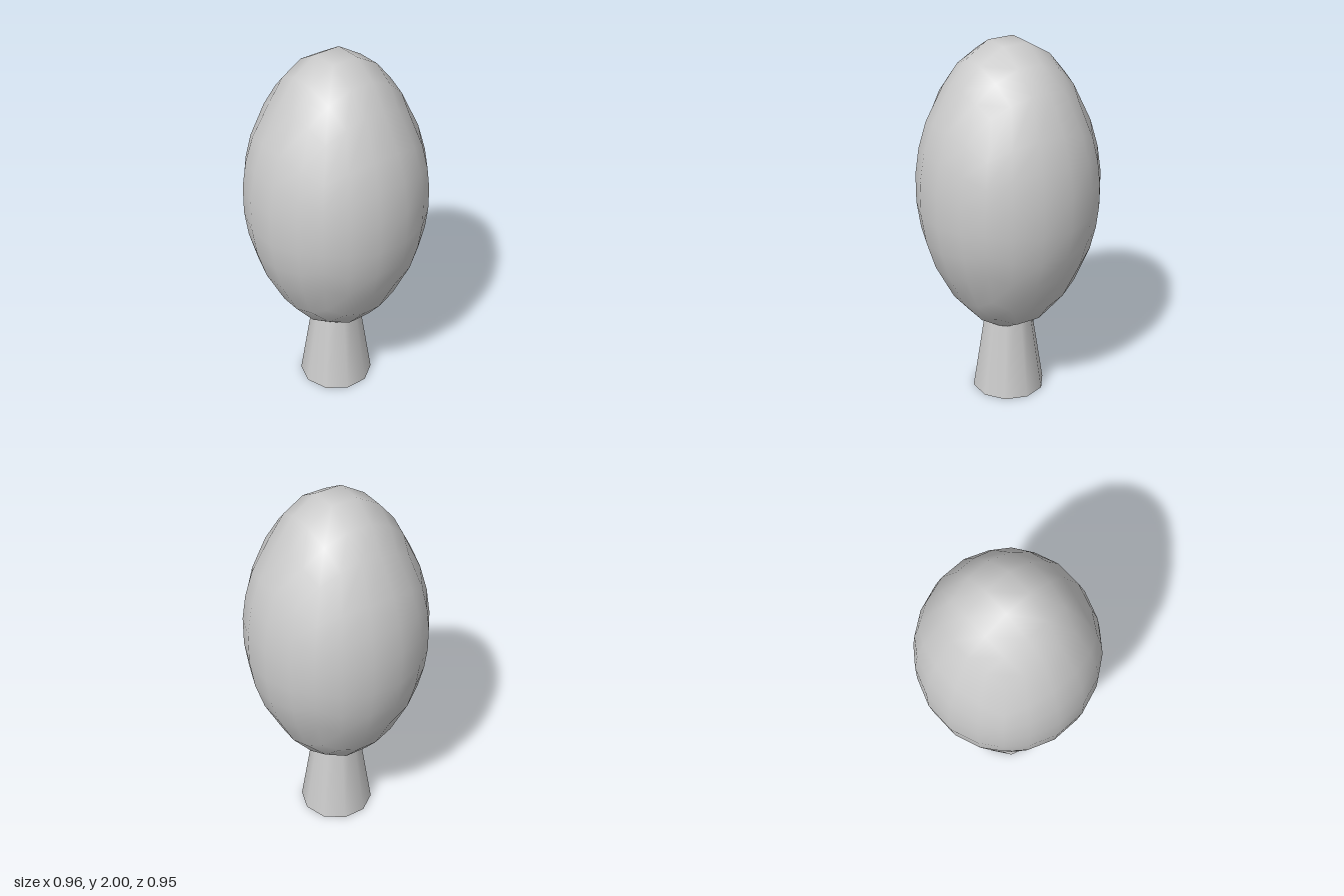
import * as THREE from 'three';
import { mergeVertices } from 'three/addons/utils/BufferGeometryUtils.js';

const material = new THREE.MeshStandardMaterial({ color: 0xcccccc });

// Egg-shaped crown: a gridded box pushed out onto an ellipsoid
function crownGeometry() {
  const box = new THREE.BoxGeometry(5, 7, 5, 5, 7, 5);
  box.deleteAttribute('normal');
  box.deleteAttribute('uv');
  const geometry = mergeVertices(box, 1e-3);

  // grid line positions, outwards from the middle
  const across = [0.18, 0.56, 1];
  const upward = [0.113, 0.329, 0.593, 1.158];
  const place = (value, steps) => Math.sign(value) * steps[Math.round(Math.abs(value) - 0.5)];

  const pos = geometry.attributes.position;
  const p = new THREE.Vector3();
  for (let i = 0; i < pos.count; i++) {
    p.fromBufferAttribute(pos, i);
    p.set(place(p.x, across), place(p.y, upward), place(p.z, across)).normalize();
    // slightly flatter shoulders
    const v = p.y * p.y;
    p.multiplyScalar(1 - 0.12 * v * (1 - v));
    pos.setXYZ(i, p.x * 0.49, 1.2 + p.y * 0.819, p.z * 0.488);
  }
  geometry.computeVertexNormals();
  return geometry;
}

export function createModel() {
  const group = new THREE.Group();
  group.name = 'tree';

  const crown = new THREE.Mesh(crownGeometry(), material);
  crown.name = 'crown';

  // Ten-sided tapered trunk, its top buried in the crown
  const height = 0.6;
  const trunk = new THREE.Mesh(new THREE.CylinderGeometry(0.109, 0.2, height, 10), material);
  trunk.name = 'trunk';
  trunk.position.y = height / 2;
  trunk.rotation.y = Math.PI / 2;

  group.add(crown, trunk);
  return group;
}
